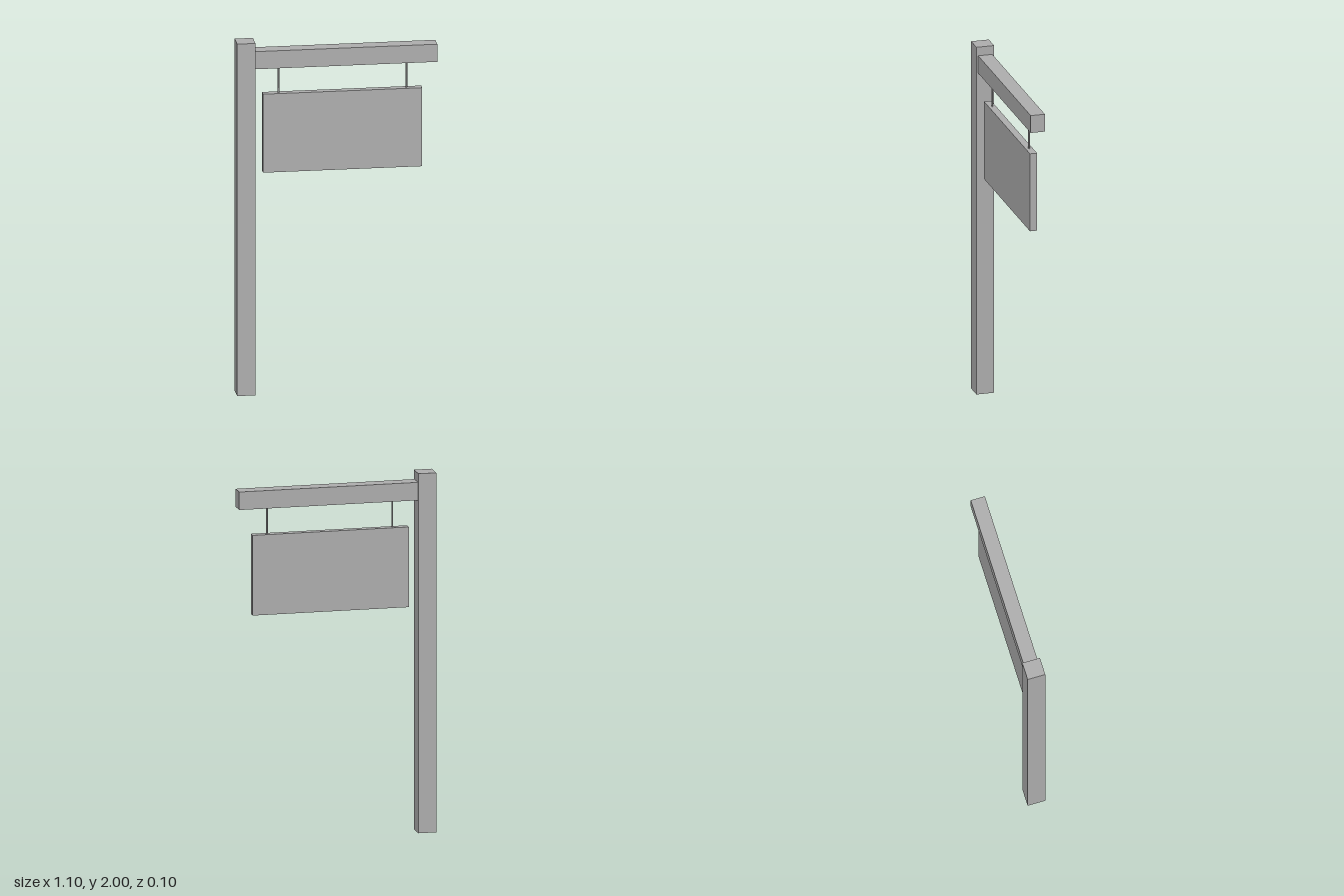
import * as THREE from 'three';

export function createModel() {
  const model = new THREE.Group();
  model.name = 'hangingSign';

  const grey = new THREE.MeshStandardMaterial({ color: 0xb0b0b0 });
  grey.name = 'plain grey';

  const add = (name, geometry, x, y, z = 0) => {
    const mesh = new THREE.Mesh(geometry, grey);
    mesh.name = name;
    mesh.position.set(x, y, z);
    model.add(mesh);
  };

  // Upright post and the arm reaching out from it
  add('post', new THREE.BoxGeometry(0.1, 2, 0.1), -0.498, 1);
  add('arm', new THREE.BoxGeometry(0.996, 0.1, 0.08), 0.05, 1.9);

  // Sign board
  add('board', new THREE.BoxGeometry(0.87, 0.446, 0.04), 0.033, 1.477);

  // Two thin rods hanging the board from the arm
  for (const [name, x] of [['rightRod', -0.315], ['leftRod', 0.384]]) {
    add(name, new THREE.CylinderGeometry(0.005, 0.005, 0.15, 8), x, 1.775);
  }

  return model;
}
